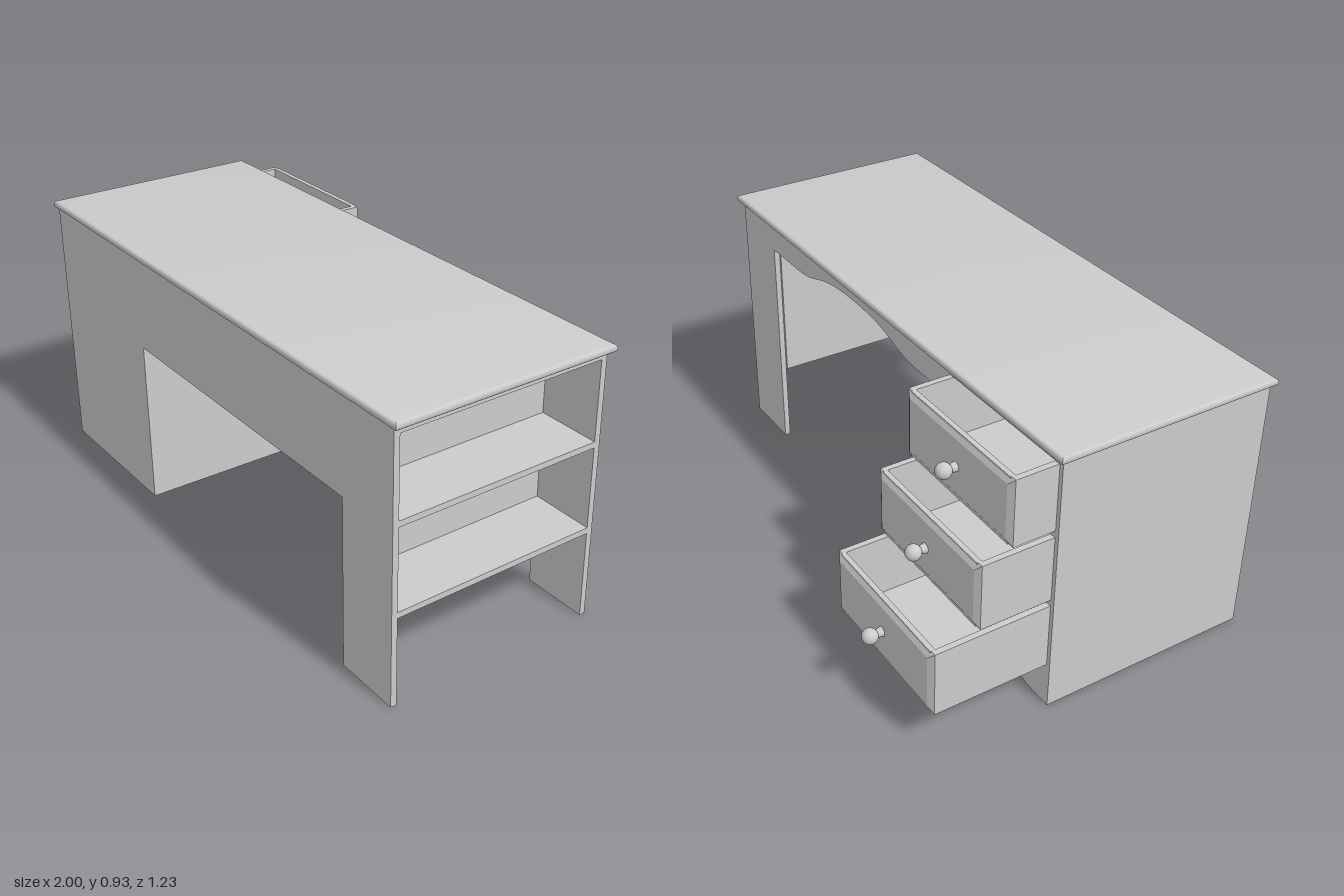
import * as THREE from 'three';
import { toCreasedNormals } from 'three/addons/utils/BufferGeometryUtils.js';

const T = 0.02;                     // board thickness
const FRONT = 0.605, BACK = -0.145; // outer faces of the carcass
const TOP = 0.9;

export function createModel() {
  const desk = new THREE.Group();
  desk.name = 'desk';
  const material = new THREE.MeshStandardMaterial({ color: 0xcccccc });

  const add = (name, geometry, parent = desk) => {
    const mesh = new THREE.Mesh(geometry, material);
    mesh.name = name;
    parent.add(mesh);
    return mesh;
  };
  // Board given by its min and max along each axis
  const board = (name, x0, x1, y0, y1, z0, z1, parent) => {
    const mesh = add(name, new THREE.BoxGeometry(x1 - x0, y1 - y0, z1 - z0), parent);
    mesh.position.set((x0 + x1) / 2, (y0 + y1) / 2, (z0 + z1) / 2);
    return mesh;
  };
  // Upright panel cut from an outline in x and y
  const panel = (name, shape, z) => {
    const geometry = new THREE.ExtrudeGeometry(shape, { depth: T, bevelEnabled: false, curveSegments: 12 });
    add(name, toCreasedNormals(geometry, 0.5)).position.z = z;
  };
  // Adds a scalloped lower edge, running towards +x
  const scallop = (shape, centre, half, base, peak) => {
    shape.lineTo(centre - half, base);
    shape.bezierCurveTo(centre - half * 0.6, base, centre - half * 0.65, peak, centre, peak);
    shape.bezierCurveTo(centre + half * 0.65, peak, centre + half * 0.6, base, centre + half, base);
  };

  // Table top with a rounded edge all round
  const r = 0.0135;
  const topShape = new THREE.Shape();
  topShape.moveTo(-1 + r, -0.615 + r).lineTo(1 - r, -0.615 + r)
    .lineTo(1 - r, 0.165 - r).lineTo(-1 + r, 0.165 - r).closePath();
  const topGeometry = new THREE.ExtrudeGeometry(topShape, {
    depth: 0.0005, bevelThickness: r, bevelSize: r, bevelSegments: 6,
  });
  const top = add('tableTop', toCreasedNormals(topGeometry, 0.6));
  top.rotation.x = -Math.PI / 2;
  top.position.y = 0.898 + r;
  board('topBoard', -0.975, 0.98, TOP - T, TOP, BACK + T, FRONT - T);

  // Front panel with the wide knee opening
  const front = new THREE.Shape();
  front.moveTo(-0.98, 0).lineTo(-0.4, 0).lineTo(-0.4, 0.58).lineTo(0.75, 0.58)
    .lineTo(0.75, 0).lineTo(0.98, 0).lineTo(0.98, TOP).lineTo(-0.98, TOP).closePath();
  panel('frontPanel', front, FRONT - T);

  // Rear panel: scalloped apron over the knee space and the shelf leg
  const rear = new THREE.Shape();
  rear.moveTo(-0.4, TOP).lineTo(-0.4, 0.8);
  scallop(rear, 0.17, 0.4, 0.8, 0.86);
  rear.lineTo(0.75, 0.8).lineTo(0.75, 0).lineTo(0.98, 0).lineTo(0.98, TOP).closePath();
  panel('rearApronAndLeg', rear, BACK);

  // Open shelves at the model's left end
  board('shelfDivider', 0.74, 0.76, 0.3, TOP - T, BACK + T, FRONT - T);
  for (const y of [0.3, 0.595]) board('shelf', 0.76, 0.98, y, y + T, BACK + T, FRONT - T);

  // Drawer pedestal
  const side = 0.015;
  board('pedestalOuterSide', -0.98, -0.98 + side, 0, TOP, BACK, FRONT - T);
  board('pedestalInnerSide', -0.4 - side, -0.4, 0, TOP, BACK, FRONT - T);
  const x0 = -0.98 + side, x1 = -0.4 - side;
  board('pedestalFloor', x0, x1, 0.12, 0.14, BACK + T, FRONT - T);
  const plinth = new THREE.Shape();
  plinth.moveTo(x0, 0.15).lineTo(x0, 0);
  scallop(plinth, (x0 + x1) / 2, 0.2, 0, 0.055);
  plinth.lineTo(x1, 0).lineTo(x1, 0.15).closePath();
  panel('plinthApron', plinth, BACK);
  for (const [y0, y1] of [[0.38, 0.403], [0.63, 0.655], [0.88, 0.9]])
    board('drawerRail', x0, x1, y0, y1, BACK, BACK + T);

  // Drawers, each pulled out by a different amount
  const drawer = (y, z) => {
    const group = new THREE.Group();
    group.name = 'drawer';
    group.position.set((x0 + x1) / 2, y, z);
    desk.add(group);
    const w = (x1 - x0) / 2 - 0.002, h = 0.228, depth = 0.68, t = 0.02;
    board('drawerBottom', -w + t, w - t, 0, 0.015, 0.012, depth, group);
    for (const s of [-1, 1]) {
      const a = s * w, b = s * (w - t);
      board('drawerSide', Math.min(a, b), Math.max(a, b), 0, h, 0.012, depth, group);
    }
    board('drawerBack', -w + t, w - t, 0, h, depth - t, depth, group);
    board('drawerFrontInner', -w + t, w - t, 0, h, 0.008, 0.025, group);

    // Front with a bevelled face
    const face = new THREE.BoxGeometry(2 * w, h, 0.012);
    const p = face.attributes.position;
    for (let i = 0; i < p.count; i++) {
      if (p.getZ(i) > 0) continue;
      p.setX(i, p.getX(i) - Math.sign(p.getX(i)) * 0.022);
      p.setY(i, p.getY(i) - Math.sign(p.getY(i)) * 0.022);
    }
    add('drawerFront', toCreasedNormals(face, 0.1), group).position.set(0, h / 2, 0.006);

    // Knob: flared stem and ball
    const knob = new THREE.Group();
    knob.name = 'knob';
    knob.position.set(0, h / 2, 0);
    group.add(knob);
    const stem = add('knobStem', new THREE.CylinderGeometry(0.017, 0.011, 0.03, 20), knob);
    stem.rotation.x = Math.PI / 2;
    stem.position.z = -0.012;
    add('knobBall', new THREE.SphereGeometry(0.026, 24, 16), knob).position.z = -0.041;
  };
  drawer(0.151, -0.55);
  drawer(0.401, -0.4);
  drawer(0.652, -0.3);

  return desk;
}
